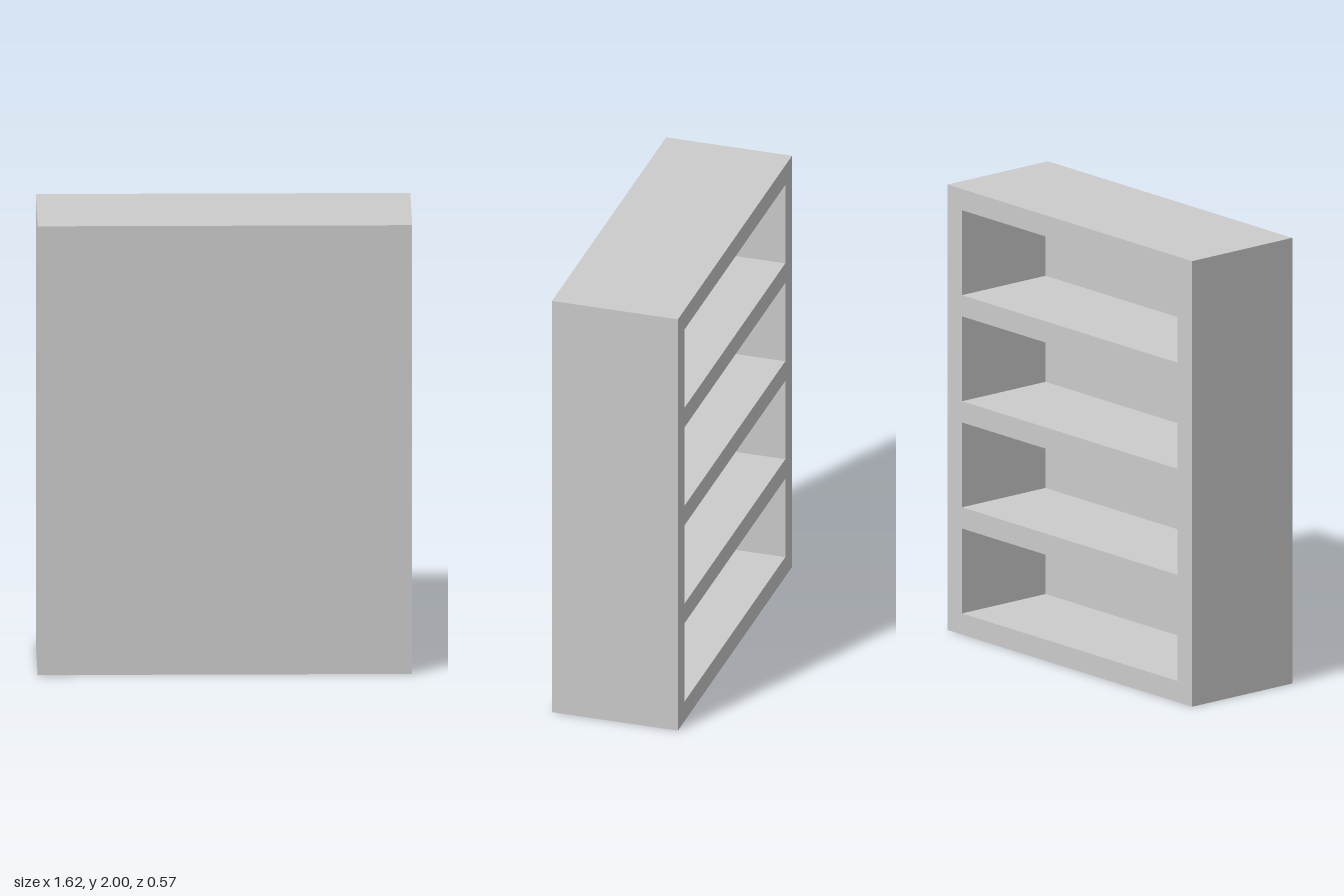
import * as THREE from 'three';

// Everything is a whole number of board thicknesses
const T = 2 / 21;
const WIDTH = 17 * T, HEIGHT = 21 * T, DEPTH = 6 * T;
const BAYS = 4, BAY_HEIGHT = 4 * T;

// Counter-clockwise rectangle outline
function rectangle(PathType, x, y, w, h) {
  return new PathType([
    new THREE.Vector2(x, y),
    new THREE.Vector2(x + w, y),
    new THREE.Vector2(x + w, y + h),
    new THREE.Vector2(x, y + h),
  ]);
}

export function createModel() {
  const group = new THREE.Group();
  group.name = 'bookcase';
  const material = new THREE.MeshStandardMaterial({ color: 0xcccccc, flatShading: true });

  // Sides, top, base and shelves: one frame with an opening per bay
  const outline = rectangle(THREE.Shape, -WIDTH / 2, 0, WIDTH, HEIGHT);
  for (let i = 0; i < BAYS; i++) {
    const y = T + i * (BAY_HEIGHT + T);
    outline.holes.push(rectangle(THREE.Path, -WIDTH / 2 + T, y, WIDTH - 2 * T, BAY_HEIGHT));
  }
  const frame = new THREE.Mesh(
    new THREE.ExtrudeGeometry(outline, { depth: DEPTH - T, bevelEnabled: false }),
    material
  );
  frame.name = 'shelfFrame';
  frame.position.z = -DEPTH / 2;
  group.add(frame);

  // Solid panel closing the +z side; the bays open towards -z
  const panel = new THREE.Mesh(new THREE.BoxGeometry(WIDTH, HEIGHT, T), material);
  panel.name = 'closingPanel';
  panel.position.set(0, HEIGHT / 2, DEPTH / 2 - T / 2);
  group.add(panel);

  return group;
}
